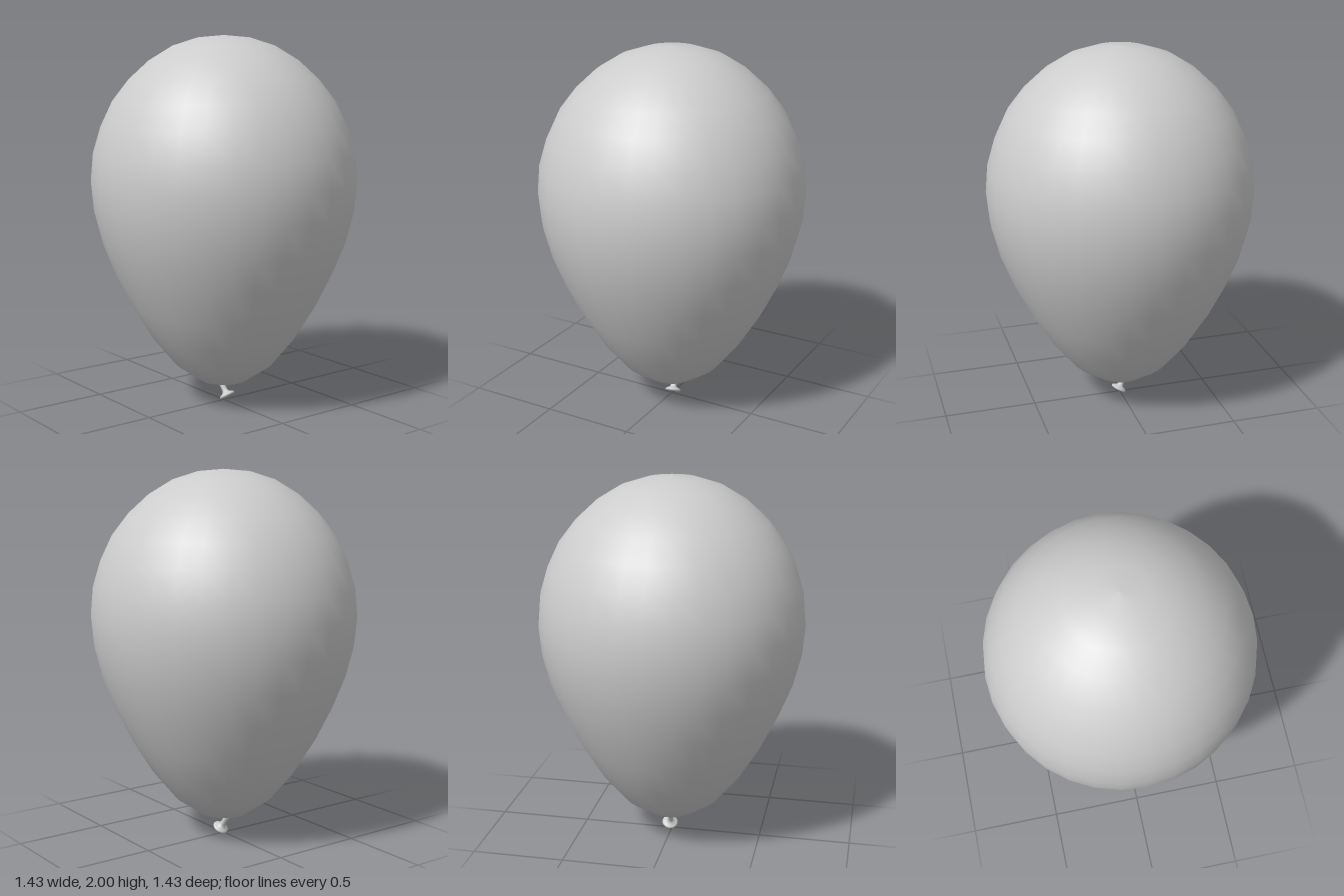
import * as THREE from 'three';

// Surface of revolution from [radius, height] pairs
function lathe(points, segments) {
  return new THREE.LatheGeometry(points.map(([r, y]) => new THREE.Vector2(r, y)), segments);
}

export function createModel() {
  const group = new THREE.Group();
  const rubber = new THREE.MeshStandardMaterial({ color: 0xcccccc });
  rubber.name = 'grey rubber';

  // Inflated teardrop body
  const body = new THREE.Mesh(lathe([
    [0, 0.085], [0.13, 0.123], [0.27, 0.22], [0.395, 0.375], [0.502, 0.55], [0.59, 0.73],
    [0.657, 0.9], [0.7, 1.07], [0.714, 1.23], [0.7, 1.38], [0.658, 1.52], [0.594, 1.655],
    [0.505, 1.77], [0.398, 1.868], [0.272, 1.945], [0.138, 1.988], [0, 2],
  ], 32), rubber);
  body.name = 'balloonBody';
  group.add(body);

  // Tied neck flaring into a rolled lip with a dished mouth
  const neck = new THREE.Mesh(lathe([
    [0.019, -0.03], [0.015, 0.02], [0.015, 0.045], [0.019, 0.06], [0.034, 0.067], [0.042, 0.072],
    [0.044, 0.078], [0.041, 0.083], [0.035, 0.083], [0.022, 0.074], [0, 0.068],
  ], 24), rubber);
  neck.name = 'tiedNeck';
  neck.position.set(0.002, 0.091, -0.028);
  // Tilt the mouth downward and forward
  neck.quaternion.setFromUnitVectors(
    new THREE.Vector3(0, 1, 0), new THREE.Vector3(0.15, -0.84, 0.52).normalize());
  group.add(neck);

  return group;
}
